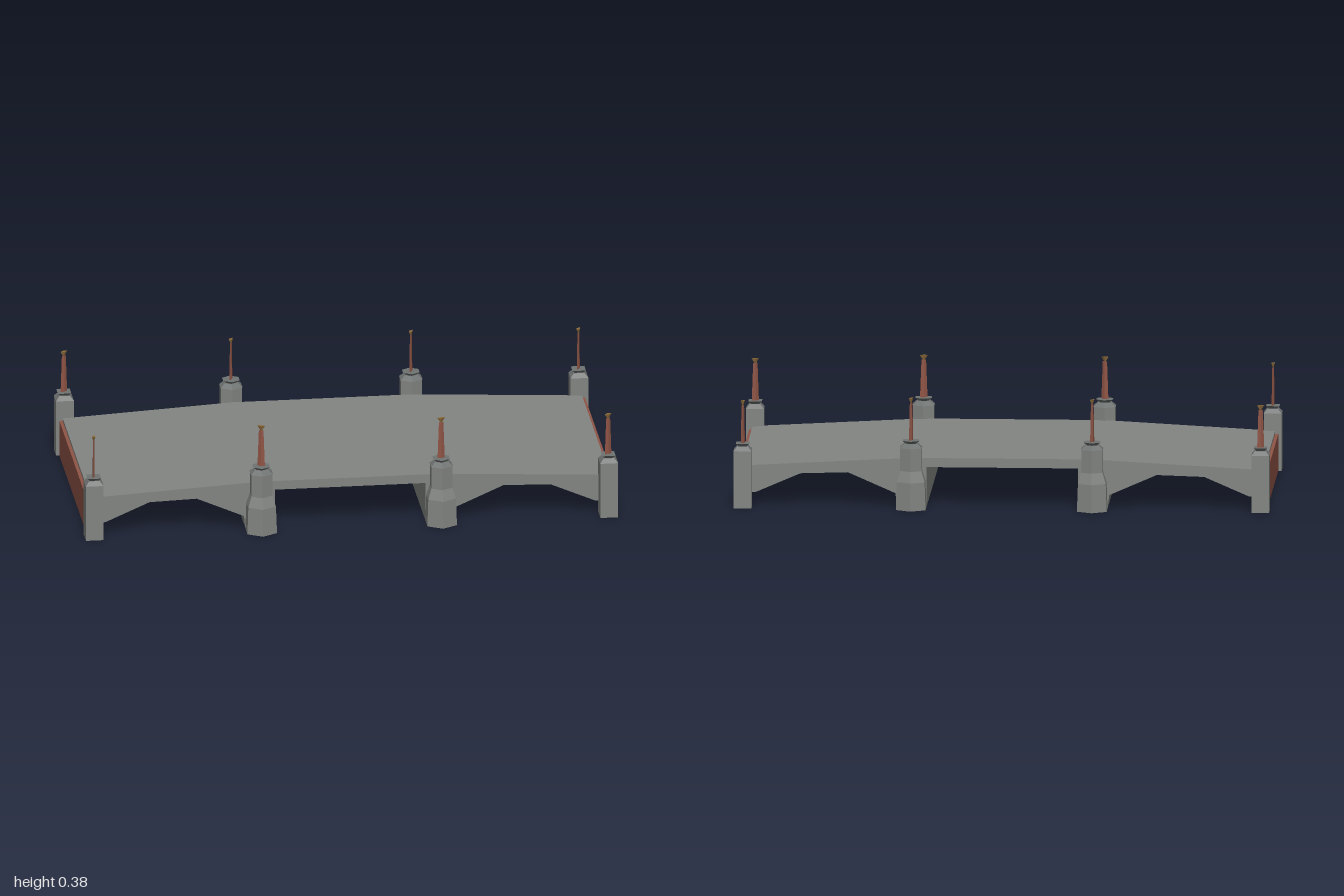
import * as THREE from 'three';

const mat = (name, color, extra = {}) => {
  const m = new THREE.MeshStandardMaterial({ color, ...extra });
  m.name = name;
  return m;
};

export function createModel() {
  const root = new THREE.Group();
  root.name = 'bridge';
  const stone = mat('grey stone', 0x828582);
  const capStone = mat('dark stone', 0x6f7371);
  const brick = mat('red brick', 0x8f5445);
  const gold = mat('dull gold', 0x8d6c3c);

  const bridge = new THREE.Group();
  bridge.name = 'bridgeBody';
  bridge.rotation.y = 0.365; // the bridge stands diagonally
  root.add(bridge);

  const add = (parent, name, geo, material, x = 0, y = 0, z = 0) => {
    const g = geo.index ? geo.toNonIndexed() : geo;
    g.computeVertexNormals(); // faceted faces
    const m = new THREE.Mesh(g, material);
    m.name = name;
    m.position.set(x, y, z);
    parent.add(m);
    return m;
  };

  // Deck, side arches and pier walls: one side profile swept across the width
  const half = [[0.305, 0.166], [0.88, 0.135], [0.88, 0.045], [0.83, 0.045], [0.68, 0.11],
    [0.52, 0.115], [0.36, 0.045], [0.355, 0], [0.255, 0], [0.255, 0.135]];
  const outline = [...half, ...half.map(([x, y]) => [-x, y]).reverse()];
  const shape = new THREE.Shape(outline.map(([x, y]) => new THREE.Vector2(x, y)));
  const body = new THREE.ExtrudeGeometry(shape, { depth: 0.755, bevelEnabled: false });
  add(bridge, 'deckAndArches', body, stone, 0, 0, -0.37);

  // Brick walls closing both ends
  for (const s of [-1, 1]) {
    add(bridge, 'endWall', new THREE.BoxGeometry(0.03, 0.125, 0.76), brick, s * 0.876, 0.0625, 0);
  }

  // Flared cap with a flat lamp post on top
  const addLamp = (post, y, yaw, radius, sides, turn) => {
    const cap = new THREE.CylinderGeometry(radius * 0.6, radius, 0.014, sides);
    const lip = new THREE.CylinderGeometry(radius * 0.75, radius * 0.4, 0.012, sides);
    cap.rotateY(turn);
    lip.rotateY(turn);
    add(post, 'cap', cap, capStone, 0, y + 0.007, 0);
    add(post, 'capLip', lip, capStone, 0, y + 0.018, 0);
    const lamp = new THREE.Group();
    lamp.name = 'lamp';
    lamp.position.y = y + 0.022;
    lamp.rotation.y = yaw - bridge.rotation.y;
    post.add(lamp);
    const pole = new THREE.CylinderGeometry(0.008, 0.013, 0.13, 4);
    pole.scale(1, 1, 0.3);
    add(lamp, 'lampPole', pole, brick, 0, 0.065, 0);
    const head = new THREE.CylinderGeometry(0.014, 0.003, 0.016, 4);
    head.scale(1, 1, 0.45);
    add(lamp, 'lampHead', head, gold, 0, 0.138, 0);
  };

  // Square posts on the four corners: x side, z side, lamp yaw
  for (const [sx, sz, yaw] of [[-1, -1, 0.8], [1, -1, 1.4], [1, 1, 0.8], [-1, 1, 1.57]]) {
    const post = new THREE.Group();
    post.name = 'cornerPost';
    post.position.set(sx * 0.872, 0, sz * 0.405);
    bridge.add(post);
    add(post, 'postShaft', new THREE.BoxGeometry(0.06, 0.195, 0.06), stone, 0, 0.0975, 0);
    addLamp(post, 0.195, yaw, 0.043, 4, Math.PI / 4);
  }

  // Six-sided piers with pointed cutwaters and upper posts
  for (const [sx, sz, yaw] of [[-1, -1, 1.4], [1, -1, 1.4], [1, 1, 0.6], [-1, 1, 0]]) {
    const pier = new THREE.Group();
    pier.name = 'pier';
    pier.position.set(sx * 0.305, 0, sz * 0.412);
    bridge.add(pier);
    const hex = (rt, rb, h) => new THREE.CylinderGeometry(rt, rb, h, 6);
    add(pier, 'cutwater', hex(0.054, 0.058, 0.095), stone, 0, 0.0475, 0);
    add(pier, 'cutwaterSlope', hex(0.04, 0.054, 0.04), stone, 0, 0.115, 0);
    add(pier, 'pierPost', hex(0.041, 0.041, 0.08), stone, 0, 0.17, 0);
    addLamp(pier, 0.21, yaw, 0.043, 6, 0);
  }

  return root;
}
